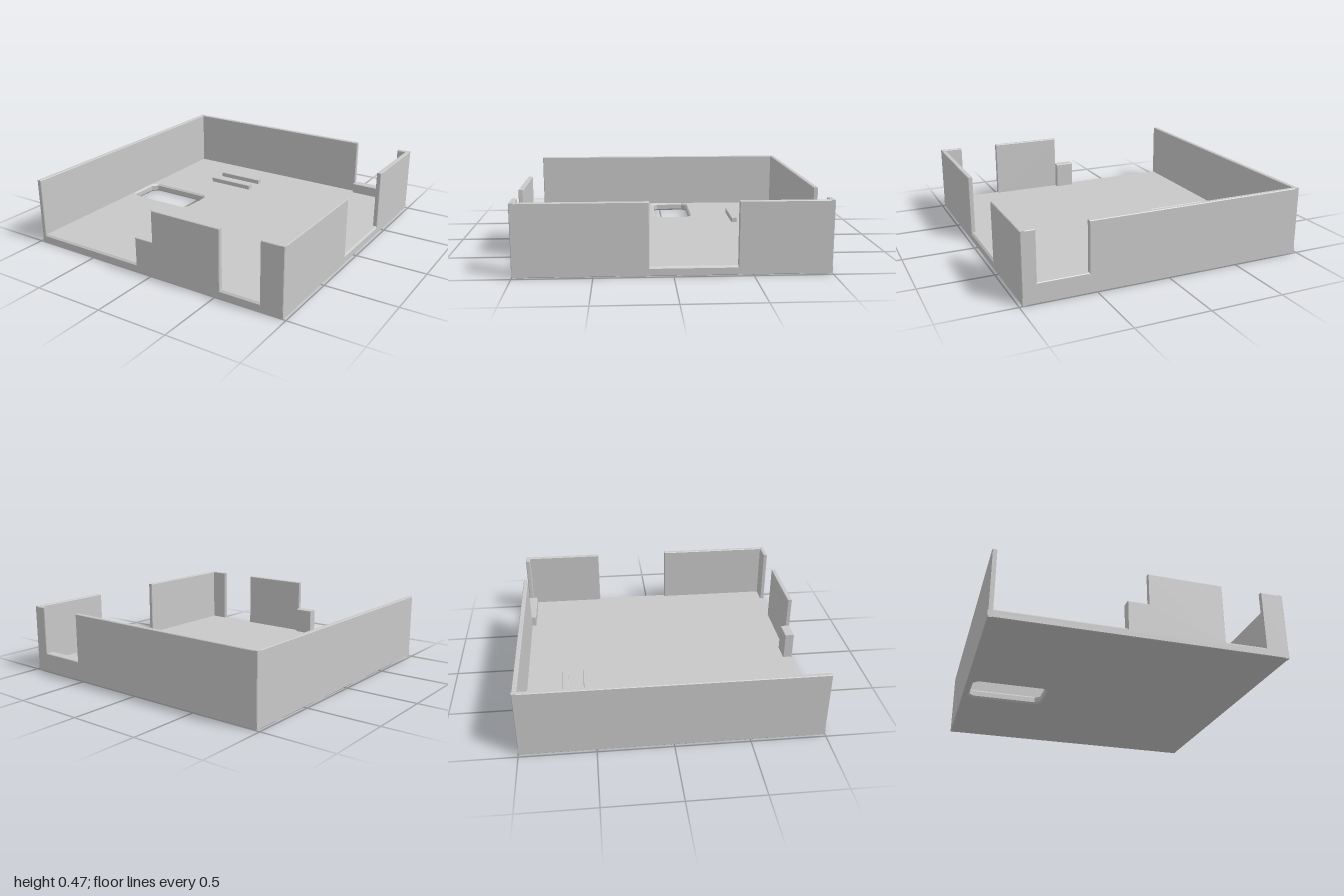
import * as THREE from 'three';

const toPoints = (pts) => pts.map(([x, y]) => new THREE.Vector2(x, y));
const rect = (x0, y0, x1, y1) => [[x0, y0], [x1, y0], [x1, y1], [x0, y1]];

// Chamfered plate: outline in XY, thickness along z from z0 to z1
function plate(outline, z0, z1, chamfer = 0.004, hole = null) {
  const shape = new THREE.Shape(toPoints(outline));
  if (hole) shape.holes.push(new THREE.Path(toPoints(hole)));
  const geo = new THREE.ExtrudeGeometry(shape, {
    depth: z1 - z0 - 2 * chamfer, bevelEnabled: true, bevelSegments: 1,
    bevelSize: chamfer, bevelThickness: chamfer, bevelOffset: -chamfer,
  });
  return geo.translate(0, 0, z0 + chamfer);
}

export function createModel() {
  const group = new THREE.Group();
  group.name = 'openTray';
  const grey = new THREE.MeshStandardMaterial({ color: 0xc8c8c8 });
  grey.name = 'lightGrey';
  const add = (name, geo) => {
    const mesh = new THREE.Mesh(geo, grey);
    mesh.name = name;
    group.add(mesh);
  };

  const X = 0.98, Z = 1, H = 0.47, T = 0.032, FLOOR = 0.06, SILL = 0.05;

  // Floor with a clipped-corner window (outline y is -z)
  const [hx0, hx1, hy0, hy1, c] = [-0.932, -0.412, -0.057, 0.222, 0.035];
  const hole = [
    [hx0 + c, hy0], [hx0, hy0 + c], [hx0, hy1 - c], [hx0 + c, hy1],
    [hx1 - c, hy1], [hx1, hy1 - c], [hx1, hy0 + c], [hx1 - c, hy0],
  ];
  add('floor', plate(rect(-X, -Z, X, Z), 0, FLOOR, 0.012, hole).rotateX(-Math.PI / 2));

  // Side walls (outline x is -z)
  add('rightEdgeWall', plate([
    [-Z, 0], [Z, 0], [Z, H], [0.405, H], [0.405, SILL], [-0.15, SILL], [-0.15, H], [-Z, H],
  ], X - T, X).rotateY(Math.PI / 2));
  add('leftEdgeWall', plate(rect(-Z, 0, Z, H), -X, -X + T).rotateY(Math.PI / 2));

  // Back wall with a notch above a thick sill
  add('backWall', plate([
    [-X, 0], [X, 0], [X, H], [0.885, H], [0.885, 0.13], [0.55, 0.13], [0.55, H], [-X, H],
  ], -Z, -Z + T));
  add('backSill', plate(rect(0.55, 0, 0.89, 0.135), -Z, -0.935));

  // Front wall: low sill, stepped section, slot and corner section
  add('frontWall', plate([
    [-X, 0], [X, 0], [X, H], [0.82, H], [0.82, SILL], [0.535, SILL], [0.535, H],
    [0.02, H], [0.02, 0.25], [-0.12, 0.25], [-0.12, SILL], [-X, SILL],
  ], Z - T, Z));
  add('frontStepBlock', plate(rect(-0.12, 0, 0.02, 0.25), 0.932, Z));

  // Pair of locating ribs
  for (const z of [-0.72, -0.57]) {
    add('locatingRib', plate(rect(-0.555, 0.03, -0.192, 0.095), z, z + 0.043));
  }
  return group;
}
